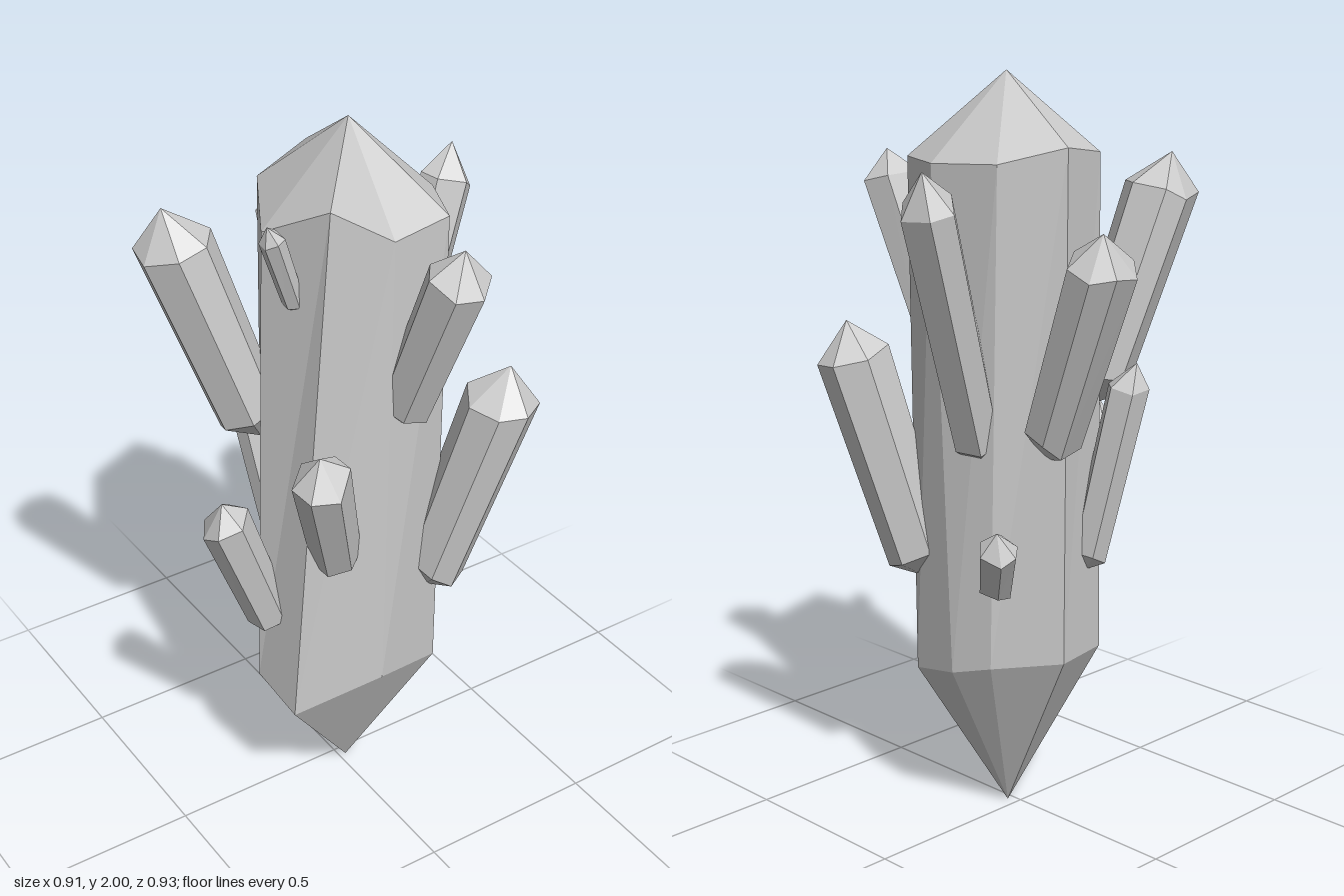
import * as THREE from 'three';

const material = new THREE.MeshStandardMaterial({ color: 0xcccccc, flatShading: true, side: THREE.DoubleSide });
const vec = (p) => new THREE.Vector3(...p);

// Faceted shard: two matching rings (counter-clockwise seen from the tip), each closed to a point
function shard(name, lowTip, lowRing, topRing, topTip) {
  const points = [];
  const tri = (a, b, c) => points.push(a, b, c);
  const n = topRing.length;
  for (let i = 0; i < n; i++) {
    const j = (i + 1) % n;
    tri(lowTip, lowRing[j], lowRing[i]);
    tri(lowRing[i], lowRing[j], topRing[j]);
    tri(lowRing[i], topRing[j], topRing[i]);
    tri(topRing[i], topRing[j], topTip);
  }
  const geometry = new THREE.BufferGeometry().setFromPoints(points);
  geometry.computeVertexNormals();
  const mesh = new THREE.Mesh(geometry, material);
  mesh.name = name;
  return mesh;
}

// Small seeded generator for slightly uneven facets
function seeded(seed) {
  let s = seed * 7919 + 17;
  return () => {
    s = (s * 16807) % 2147483647;
    return s / 2147483647;
  };
}

// Side crystal from its lower ring centre, upper ring centre, tip, radius and side count
function sideCrystal({ name, low, top, tip, r, sides, turn }, index) {
  const random = seeded(index + 1);
  const a = vec(low), b = vec(top);
  const axis = b.clone().sub(a).normalize();
  const u = new THREE.Vector3(0, 0, 1).addScaledVector(axis, -axis.z).normalize();
  const v = axis.clone().cross(u);
  const lowRing = [], topRing = [];
  for (let i = 0; i < sides; i++) {
    const t = turn + ((i + (random() - 0.5) * 0.3) / sides) * Math.PI * 2;
    const spoke = u.clone().multiplyScalar(Math.cos(t)).addScaledVector(v, Math.sin(t));
    const slip = (random() - 0.5) * 0.4 * r;
    lowRing.push(a.clone().addScaledVector(spoke, r * 0.88).addScaledVector(axis, -slip));
    topRing.push(b.clone().addScaledVector(spoke, r).addScaledVector(axis, slip));
  }
  return shard(name, a.clone().addScaledVector(axis, -r * 0.8), lowRing, topRing, vec(tip));
}

const SIDE_CRYSTALS = [
  { name: 'frontLeftCrystal', low: [0.19, 0.73, 0.2], top: [0.305, 1.26, 0.31], tip: [0.32, 1.36, 0.32], r: 0.098, sides: 7, turn: 0.2 },
  { name: 'frontUpperCrystal', low: [0.06, 1.29, 0.235], top: [0.093, 1.7, 0.39], tip: [0.1, 1.78, 0.4], r: 0.08, sides: 6, turn: 0.4 },
  { name: 'frontRightCrystal', low: [-0.125, 0.88, 0.2], top: [-0.237, 1.21, 0.305], tip: [-0.245, 1.28, 0.31], r: 0.076, sides: 6, turn: 0.1 },
  { name: 'rightLowerCrystal', low: [-0.25, 0.66, 0.06], top: [-0.376, 1, 0.07], tip: [-0.39, 1.07, 0.08], r: 0.068, sides: 6, turn: 0.3 },
  { name: 'rightSmallCrystal', low: [-0.2, 1.61, 0.13], top: [-0.275, 1.81, 0.155], tip: [-0.288, 1.845, 0.157], r: 0.032, sides: 6, turn: 0 },
  { name: 'backRightCrystal', low: [-0.2, 1.19, -0.09], top: [-0.36, 1.69, -0.165], tip: [-0.38, 1.78, -0.18], r: 0.1, sides: 7, turn: 0.5 },
  { name: 'leftUpperCrystal', low: [0.18, 1.06, -0.03], top: [0.393, 1.7, -0.08], tip: [0.42, 1.79, -0.09], r: 0.073, sides: 6, turn: 0.2 },
  { name: 'backUpperCrystal', low: [0.085, 1.1, -0.2], top: [0.11, 1.56, -0.388], tip: [0.125, 1.645, -0.405], r: 0.09, sides: 7, turn: 0.1 },
  { name: 'backLowerCrystal', low: [-0.065, 0.75, -0.19], top: [-0.118, 1.21, -0.275], tip: [-0.12, 1.275, -0.3], r: 0.056, sides: 6, turn: 0.3 },
  { name: 'leftSmallCrystal', low: [0.2, 0.7, -0.11], top: [0.255, 0.83, -0.178], tip: [0.268, 0.88, -0.185], r: 0.052, sides: 6, turn: 0.2 },
];

export function createModel() {
  const group = new THREE.Group();
  group.name = 'crystalCluster';

  // Main crystal: uneven eight-sided column, pointed at both ends
  const topRing = [
    [0, 1.77, 0.26], [0.175, 1.78, 0.235], [0.24, 1.78, 0.075], [0.2, 1.79, -0.12],
    [0.07, 1.83, -0.235], [-0.115, 1.8, -0.17], [-0.245, 1.78, 0.06], [-0.165, 1.88, 0.235],
  ].map(vec);
  const lowRing = [
    [-0.02, 0.47, 0.265], [0.205, 0.4, 0.19], [0.235, 0.44, 0.02], [0.2, 0.47, -0.09],
    [0.075, 0.49, -0.235], [-0.13, 0.47, -0.17], [-0.27, 0.44, 0.04], [-0.245, 0.38, 0.18],
  ].map(vec);
  group.add(shard('mainCrystal', vec([0.02, 0, 0.03]), lowRing, topRing, vec([0.02, 2, 0.03])));

  // Smaller crystals sprouting outward and upward around the column
  SIDE_CRYSTALS.forEach((spec, i) => group.add(sideCrystal(spec, i)));
  return group;
}
